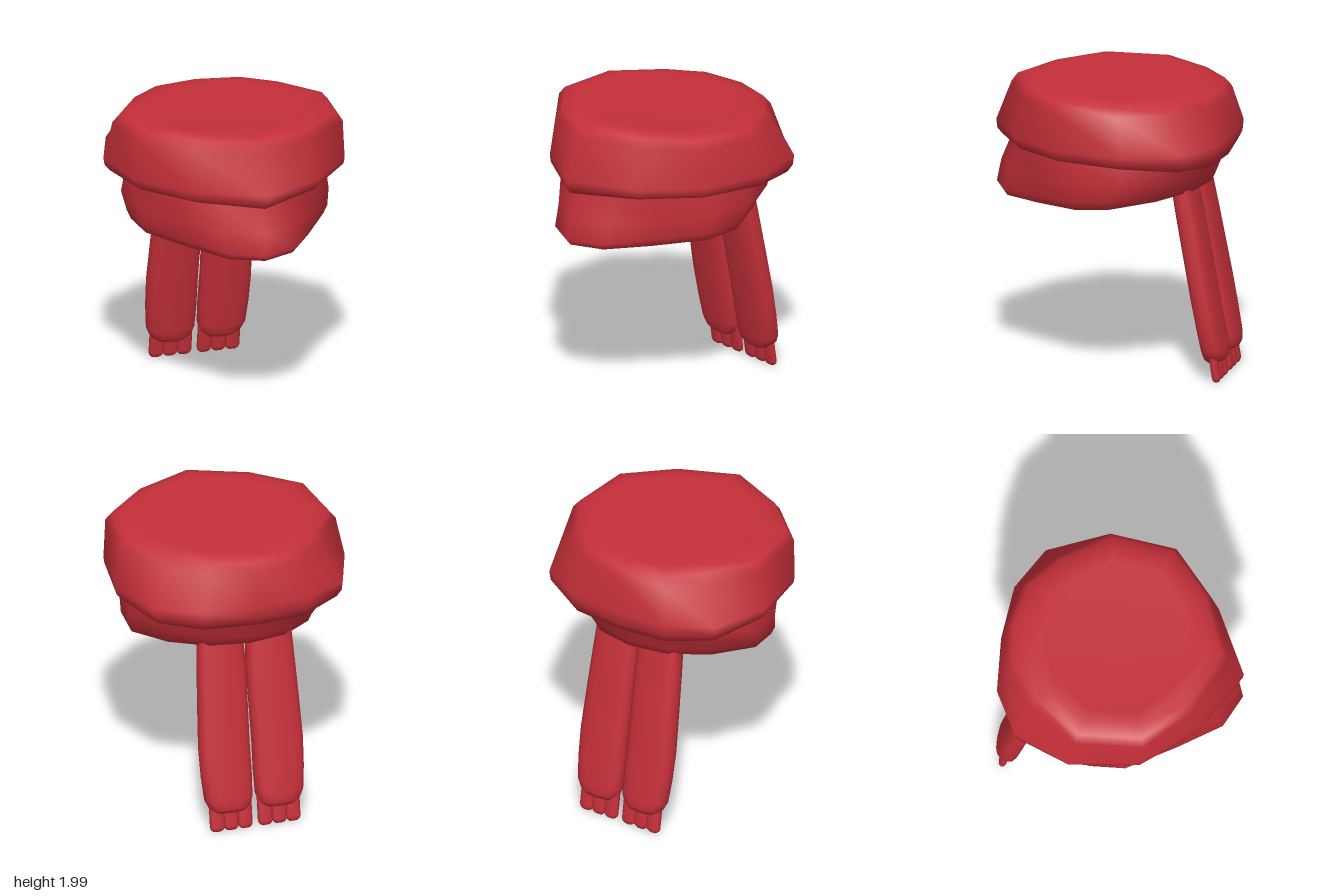
import * as THREE from 'three';

// Skin between rings of points listed from top to bottom, each counter-clockwise seen from above
function loft(rings) {
  const n = rings[0].length, pos = [], idx = [];
  rings.forEach(r => r.forEach(p => pos.push(...p)));
  for (let i = 0; i < rings.length - 1; i++) {
    for (let j = 0; j < n; j++) {
      const k = (j + 1) % n, a = i * n + j, d = i * n + k;
      idx.push(a, a + n, d + n, a, d + n, d);
    }
  }
  const g = new THREE.BufferGeometry();
  g.setAttribute('position', new THREE.Float32BufferAttribute(pos, 3));
  g.setIndex(idx);
  g.computeVertexNormals();
  return g;
}

// Ring from half an outline (front to back), mirrored; height runs from front to back, bowed at the sides
function loopRing(half, s, yFront, yBack, bow = 0) {
  const mirrored = half.slice(1, -1).reverse().map(([x, z]) => [-x, z]);
  const zF = half[0][1], zB = half[half.length - 1][1];
  return [...half, ...mirrored].map(([x, z]) => {
    const t = (zF - z) / (zF - zB);
    return [x * s, yFront + (yBack - yFront) * t + bow * 4 * t * (1 - t), z * s];
  });
}

// Rounded strip with a squarish oval section; rows are [y, centre x, half width, half depth]
function strip(rows, sides) {
  const f = v => Math.sign(v) * Math.abs(v) ** 0.75;
  return loft(rows.map(([y, cx, w, d]) => Array.from({ length: sides }, (_, j) => {
    const a = j / sides * Math.PI * 2;
    return [cx + w * f(Math.sin(a)), y, d * f(Math.cos(a))];
  })));
}

export function createModel() {
  const group = new THREE.Group();
  const red = new THREE.MeshStandardMaterial({ color: 0xc42f39, side: THREE.DoubleSide });
  red.name = 'red wool';
  const add = (name, geo, parent = group) => {
    const m = new THREE.Mesh(geo, red);
    m.name = name;
    parent.add(m);
    return m;
  };

  // Upper loop: wide band with a softly rounded, shallow dished top
  const crown = [[0, 0.71], [0.41, 0.53], [0.71, 0.25], [0.75, -0.2], [0.53, -0.53], [0.31, -0.72], [0, -0.78]];
  const brim = [[0, 0.815], [0.43, 0.58], [0.73, 0.23], [0.8, -0.24], [0.66, -0.62], [0.37, -0.785], [0, -0.815]];
  add('upperLoop', loft([
    loopRing(crown, 0.001, 1.98, 1.98),
    loopRing(crown, 0.62, 1.982, 1.975),
    loopRing(crown, 0.7, 1.994, 1.984),
    loopRing(crown, 0.82, 1.99, 1.972, 0.008),
    loopRing(crown, 0.94, 1.968, 1.945, 0.008),
    loopRing(crown, 1, 1.91, 1.89, 0.01),
    loopRing(brim, 1, 1.64, 1.65),
    loopRing(brim, 0.99, 1.58, 1.57, 0.025),
    loopRing(brim, 0.95, 1.545, 1.505, 0.045),
    loopRing(brim, 0.85, 1.55, 1.52, 0.04),
    loopRing(brim, 0.001, 1.62, 1.62),
  ]));

  // Lower loop: slanting band with a thick rounded hem around a hollow underside
  const neck = [[0, 0.71], [0.24, 0.61], [0.49, 0.42], [0.64, 0.1], [0.65, -0.22], [0.55, -0.5], [0.3, -0.69], [0, -0.76]];
  const belly = [[0, 0.78], [0.24, 0.67], [0.47, 0.43], [0.66, 0.1], [0.69, -0.2], [0.55, -0.48], [0.3, -0.66], [0, -0.725]];
  const hem = [[0, 0.81], [0.23, 0.71], [0.43, 0.44], [0.645, 0.12], [0.675, -0.12], [0.51, -0.42], [0.28, -0.62], [0, -0.685]];
  add('lowerLoop', loft([
    loopRing(neck, 1, 1.6, 1.6),
    loopRing(neck, 1, 1.54, 1.53),
    loopRing(belly, 1, 1.37, 1.47, -0.02),
    loopRing(hem, 1, 1.22, 1.37, -0.01),
    loopRing(hem, 0.96, 1.18, 1.315, -0.02),
    loopRing(hem, 0.88, 1.185, 1.305, -0.02),
    loopRing(hem, 0.8, 1.26, 1.36),
    loopRing(hem, 0.5, 1.37, 1.42),
    loopRing(hem, 0.001, 1.42, 1.42),
  ]));

  // Two hanging tails at the back, each with three tassels
  for (const side of [1, -1]) {
    const tail = new THREE.Group();
    tail.name = side > 0 ? 'leftTail' : 'rightTail';
    tail.position.set(0, 0.14, -0.745);
    tail.rotation.x = 0.187;
    group.add(tail);
    add('tailStrip', strip([
      [1.28, 0.17, 0.155, 0.078], [1.0, 0.17, 0.17, 0.082], [0.75, 0.178, 0.174, 0.082],
      [0.45, 0.186, 0.178, 0.082], [0.25, 0.182, 0.176, 0.082], [0.09, 0.177, 0.166, 0.082],
      [0.03, 0.174, 0.138, 0.077], [0, 0.172, 0.1, 0.06], [-0.005, 0.172, 0.001, 0.001],
    ].map(([y, cx, w, d]) => [y, cx * side, w, d]), 16), tail);

    for (const x of [0.07, 0.168, 0.265]) {
      const t = add('tassel', strip([
        [0.2, 0, 0.05, 0.026], [0.03, 0, 0.05, 0.027], [0.012, 0, 0.044, 0.023],
        [0, 0, 0.03, 0.014], [0, 0, 0.001, 0.001],
      ], 10));
      t.position.set(x * side, 0.01, -0.766);
      t.rotation.x = 0.16;
    }
  }
  return group;
}
